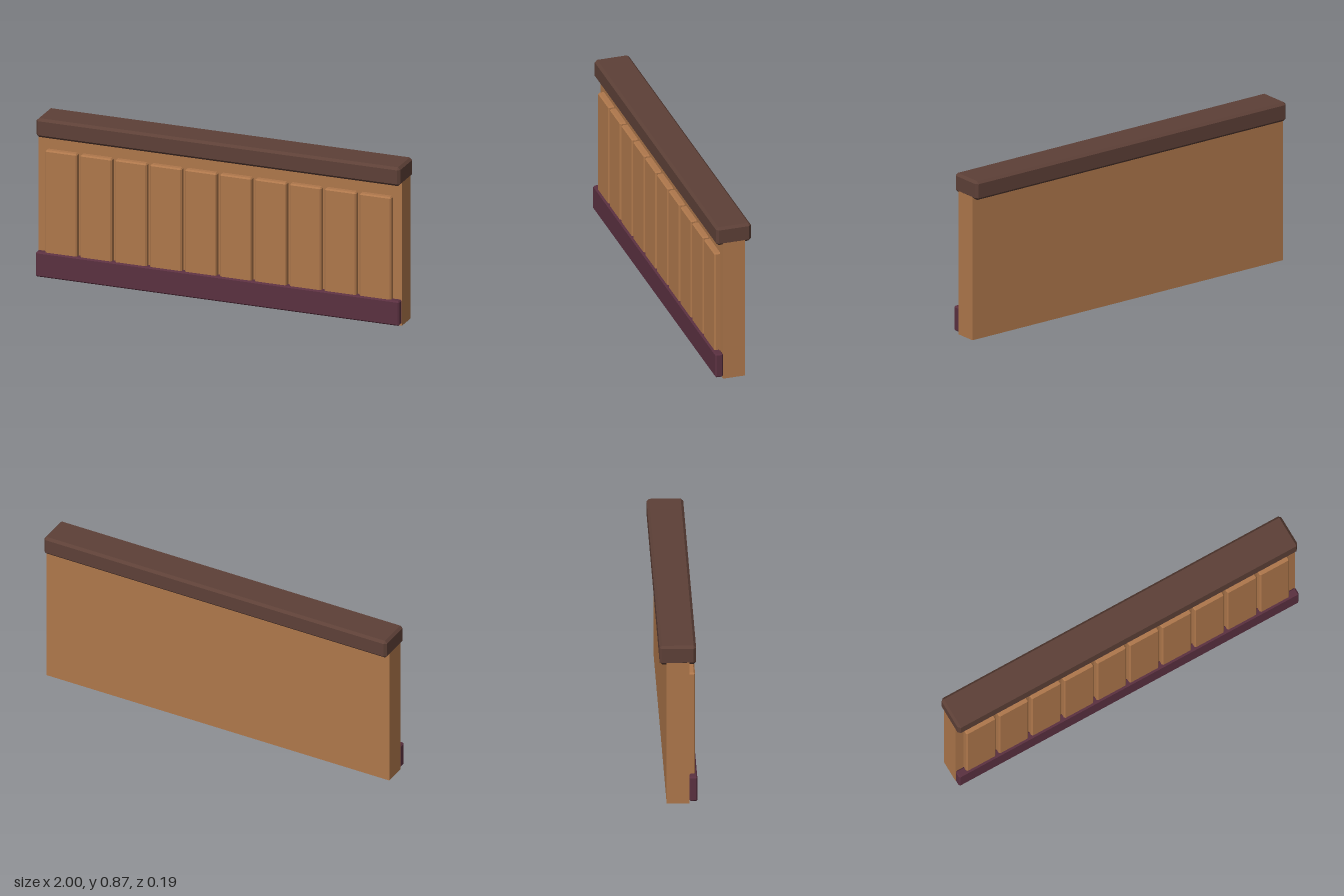
import * as THREE from 'three';
import { ConvexGeometry } from 'three/addons/geometries/ConvexGeometry.js';

const wood = new THREE.MeshStandardMaterial({ color: 0xae774b });
wood.name = 'warm wood';
const darkWood = new THREE.MeshStandardMaterial({ color: 0x5d4037 });
darkWood.name = 'dark wood';
const plum = new THREE.MeshStandardMaterial({ color: 0x5a3040 });
plum.name = 'plum';

// Box with every edge cut at 45 degrees by c
function chamferedBox(w, h, d, c) {
  const points = [];
  for (const sx of [-1, 1]) for (const sy of [-1, 1]) for (const sz of [-1, 1]) {
    const x = w / 2, y = h / 2, z = d / 2;
    points.push(
      new THREE.Vector3(sx * x, sy * (y - c), sz * (z - c)),
      new THREE.Vector3(sx * (x - c), sy * y, sz * (z - c)),
      new THREE.Vector3(sx * (x - c), sy * (y - c), sz * z)
    );
  }
  return new ConvexGeometry(points);
}

// Part spanning the given y and z ranges, centred at x
function addPart(group, name, material, x, width, [y0, y1], [z0, z1], chamfer) {
  const h = y1 - y0, d = z1 - z0;
  const geometry = chamfer
    ? chamferedBox(width, h, d, chamfer)
    : new THREE.BoxGeometry(width, h, d);
  const mesh = new THREE.Mesh(geometry, material);
  mesh.name = name;
  mesh.position.set(x, (y0 + y1) / 2, (z0 + z1) / 2);
  group.add(mesh);
}

export function createModel() {
  const model = new THREE.Group();
  model.name = 'panelledHalfWall';

  // Wall slab, a hair inside the rail ends
  addPart(model, 'wall', wood, 0, 1.999, [0, 0.8], [-0.06, 0.056]);

  // Cap rail and skirting board
  addPart(model, 'capRail', darkWood, 0, 2, [0.763, 0.865], [-0.096, 0.091], 0.013);
  addPart(model, 'skirtingBoard', plum, 0, 2, [0.01, 0.144], [0.056, 0.097], 0.007);

  // Row of raised planks on the front
  const panels = new THREE.Group();
  panels.name = 'panels';
  const count = 10, pitch = 0.192;
  for (let i = 0; i < count; i++) {
    const x = (i - (count - 1) / 2) * pitch;
    addPart(panels, `panel${i + 1}`, wood, x, 0.174, [0.1, 0.698], [0.04, 0.087], 0.007);
  }
  model.add(panels);

  return model;
}
